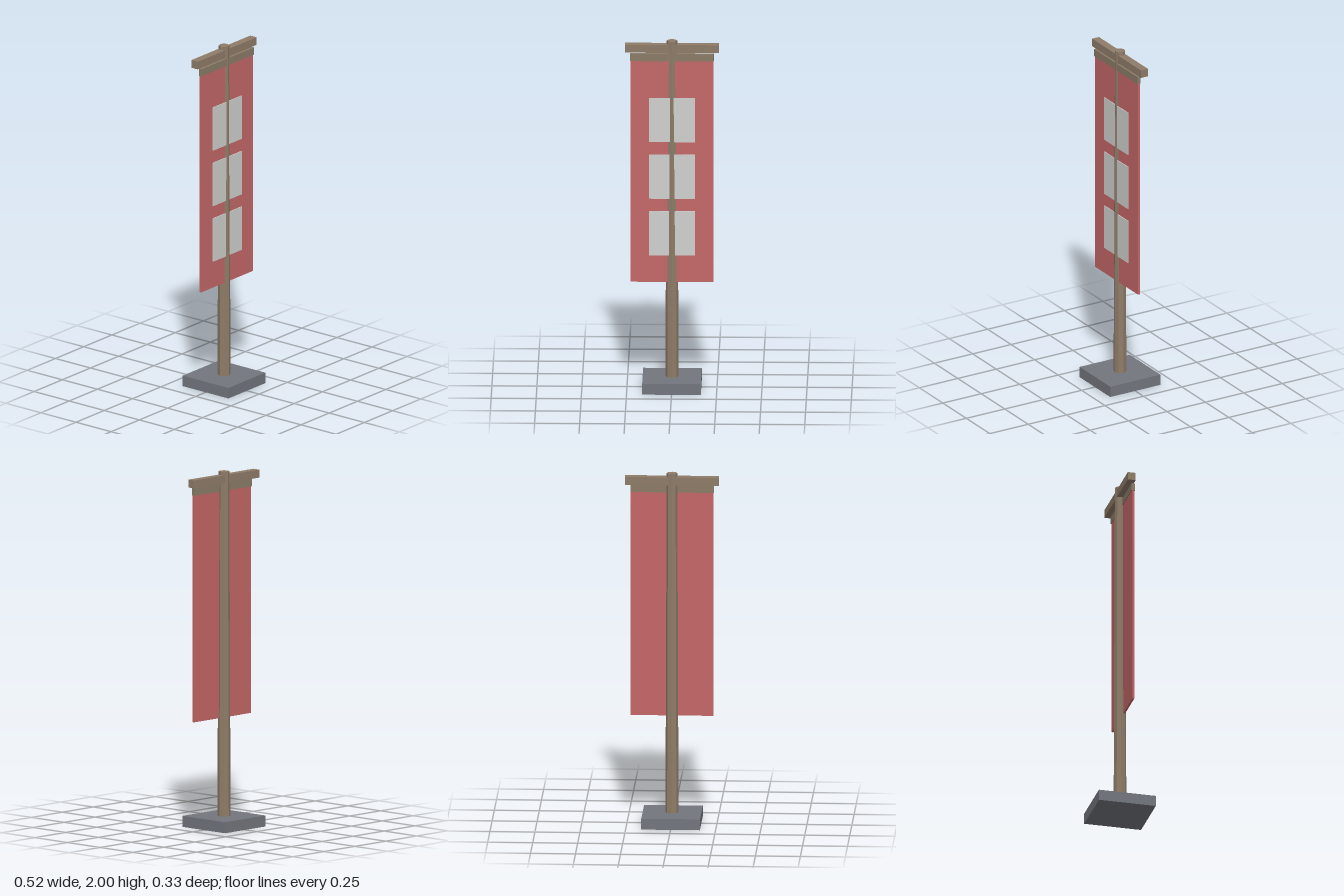
import * as THREE from 'three';

const mat = (name, color, flatShading = false) => {
  const m = new THREE.MeshStandardMaterial({ color, flatShading });
  m.name = name;
  return m;
};

export function createModel() {
  const wood = mat('wood', 0x8f7c69, true);
  const hemBrown = mat('hem brown', 0x8b7c68);
  const cloth = mat('red cloth', 0xc56767);
  const pale = mat('pale cloth', 0xd0d0ce);
  const stone = mat('grey stone', 0x73767e);

  const group = new THREE.Group();
  group.name = 'bannerStand';

  const add = (name, geometry, material, x, y, z) => {
    const mesh = new THREE.Mesh(geometry, material);
    mesh.name = name;
    mesh.position.set(x, y, z);
    group.add(mesh);
  };
  // Box given by its width, vertical range and depth range
  const box = (name, material, w, y0, y1, z0, z1) =>
    add(name, new THREE.BoxGeometry(w, y1 - y0, z1 - z0), material, 0, (y0 + y1) / 2, (z0 + z1) / 2);

  // Square foot and tapered eight-sided pole
  box('base', stone, 0.326, 0, 0.062, -0.163, 0.163);
  add('pole', new THREE.CylinderGeometry(0.0295, 0.0365, 1.94, 8), wood, 0, 1.03, 0);

  // Crossbar with the cloth hanging just below it
  box('crossbar', wood, 0.522, 1.935, 1.98, -0.0225, 0.0225);
  box('banner', cloth, 0.46, 0.612, 1.925, 0.011, 0.0228);
  box('bannerHem', hemBrown, 0.464, 1.887, 1.929, 0.007, 0.0268);

  // Three pale panels on the front of the cloth
  for (let i = 0; i < 3; i++) {
    const y = 0.766 + i * 0.327;
    box('panel' + (i + 1), pale, 0.256, y, y + 0.255, 0.0222, 0.0268);
  }
  return group;
}
